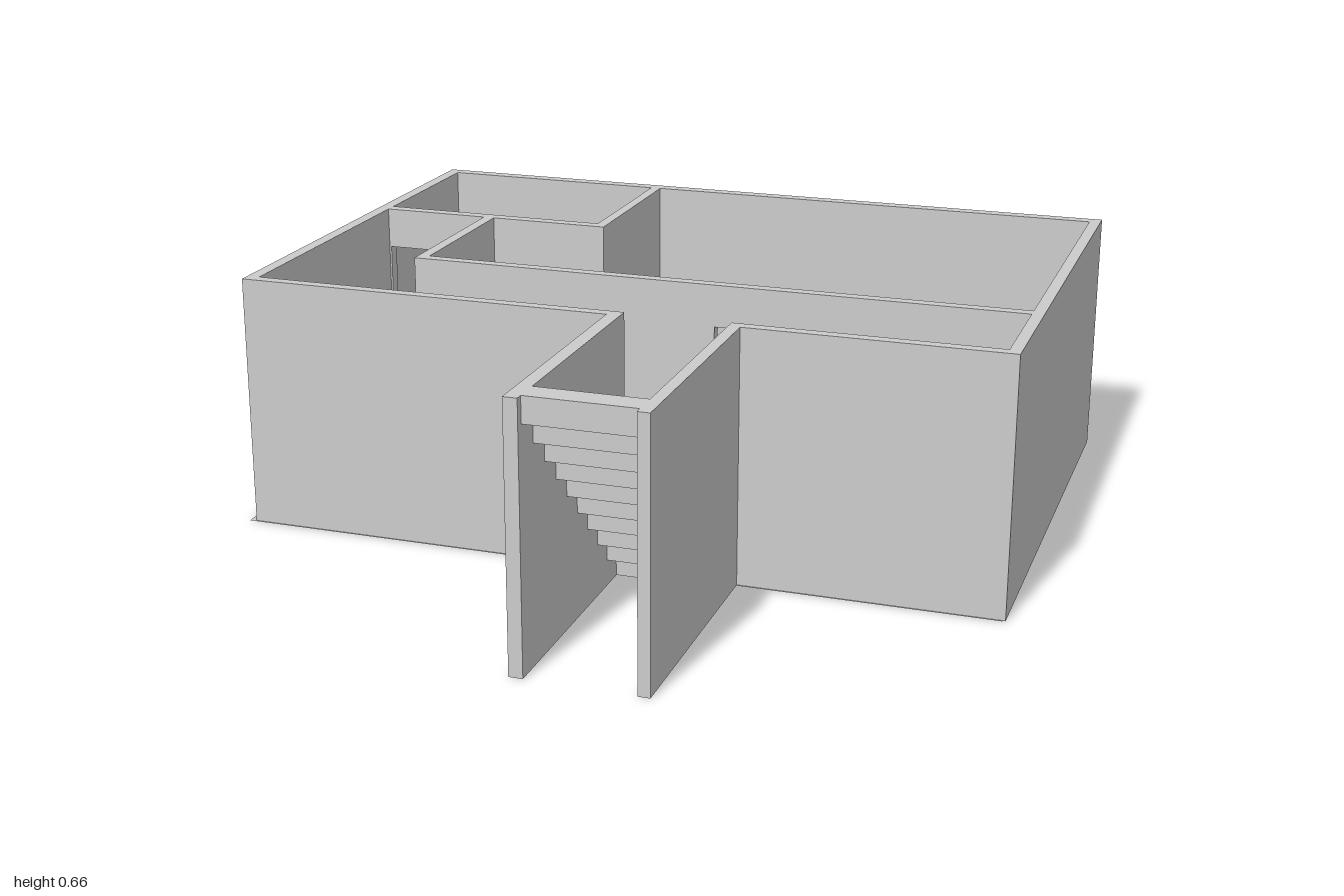
import * as THREE from 'three';

const H = 0.66;        // wall height
const DOOR = 0.55;     // door height

export function createModel() {
  const model = new THREE.Group();
  const mat = new THREE.MeshStandardMaterial({ color: 0xcccccc, flatShading: true, side: THREE.DoubleSide });

  const add = (name, geo) => {
    const mesh = new THREE.Mesh(geo, mat);
    mesh.name = name;
    model.add(mesh);
    return mesh;
  };
  const box = (name, x0, x1, y0, y1, z0, z1) =>
    add(name, new THREE.BoxGeometry(x1 - x0, y1 - y0, z1 - z0)
      .translate((x0 + x1) / 2, (y0 + y1) / 2, (z0 + z1) / 2));
  const outline = (pts) => new THREE.Shape(pts.map(([a, b]) => new THREE.Vector2(a, b)));

  // Wall along x, with openings [x0, x1, height] cut up from the floor
  const wallWithOpenings = (name, x0, x1, z0, z1, openings) => {
    const pts = [[x0, H], [x0, 0]];
    for (const [a, b, h] of openings) pts.push([a, 0], [a, h], [b, h], [b, 0]);
    pts.push([x1, 0], [x1, H]);
    const geo = new THREE.ExtrudeGeometry(outline(pts), { depth: z1 - z0, bevelEnabled: false });
    add(name, geo.translate(0, 0, z0));
  };

  // Thin floor sheet, slightly wider than the walls on the right and front
  add('floor', new THREE.PlaneGeometry(1.99, 1.335).rotateX(-Math.PI / 2).translate(-0.005, 0.001, -0.3325));

  // Outer walls in plan (x, z): one loop around the rooms and along both sides of the stairwell
  const plan = [
    [0, 0.33], [-0.983, 0.33], [-0.983, -0.995], [0.997, -0.995], [0.997, 0.33], [0.335, 0.33],
    [0.335, 0.985], [0.305, 0.985], [0.305, 0.3], [0.967, 0.3], [0.967, -0.96], [-0.95, -0.96],
    [-0.95, 0.3], [0.035, 0.3], [0.035, 0.985], [0, 0.985],
  ].map(([x, z]) => [x, -z]);
  add('outerWalls', new THREE.ExtrudeGeometry(outline(plan), { depth: H, bevelEnabled: false }).rotateX(-Math.PI / 2));

  // Inner walls
  box('smallRoomSideWall', -0.325, -0.297, 0, H, -0.96, -0.5);
  wallWithOpenings('smallRoomFrontWall', -0.95, -0.297, -0.5, -0.467, [[-0.945, -0.655, DOOR]]);
  box('passageWall', -0.655, -0.625, 0, H, -0.467, -0.03);
  wallWithOpenings('corridorWall', -0.655, 0.967, -0.03, 0, [[0.17, 0.49, DOOR], [0.8, 0.962, 0.155]]);

  // Stairs climbing outward from the rooms to the top of the walls
  const steps = 10, rise = H / steps, run = 0.0665;
  const stair = [];
  for (let i = 0; i < steps; i++) stair.push([0.3 + i * run, i * rise], [0.3 + i * run, (i + 1) * rise]);
  // stepped underside, one step lower
  for (let i = steps; i > 0; i--) {
    stair.push([0.3 + i * run, i * rise], [0.3 + i * run, (i - 1) * rise + 0.001]);
    if (i > 1) stair.push([0.3 + (i - 1) * run + 0.002, (i - 1) * rise + 0.001]);
  }
  const stairGeo = new THREE.ExtrudeGeometry(outline(stair), { depth: 0.27, bevelEnabled: false });
  add('stairs', stairGeo.rotateY(-Math.PI / 2).translate(0.305, 0, 0));

  return model;
}
